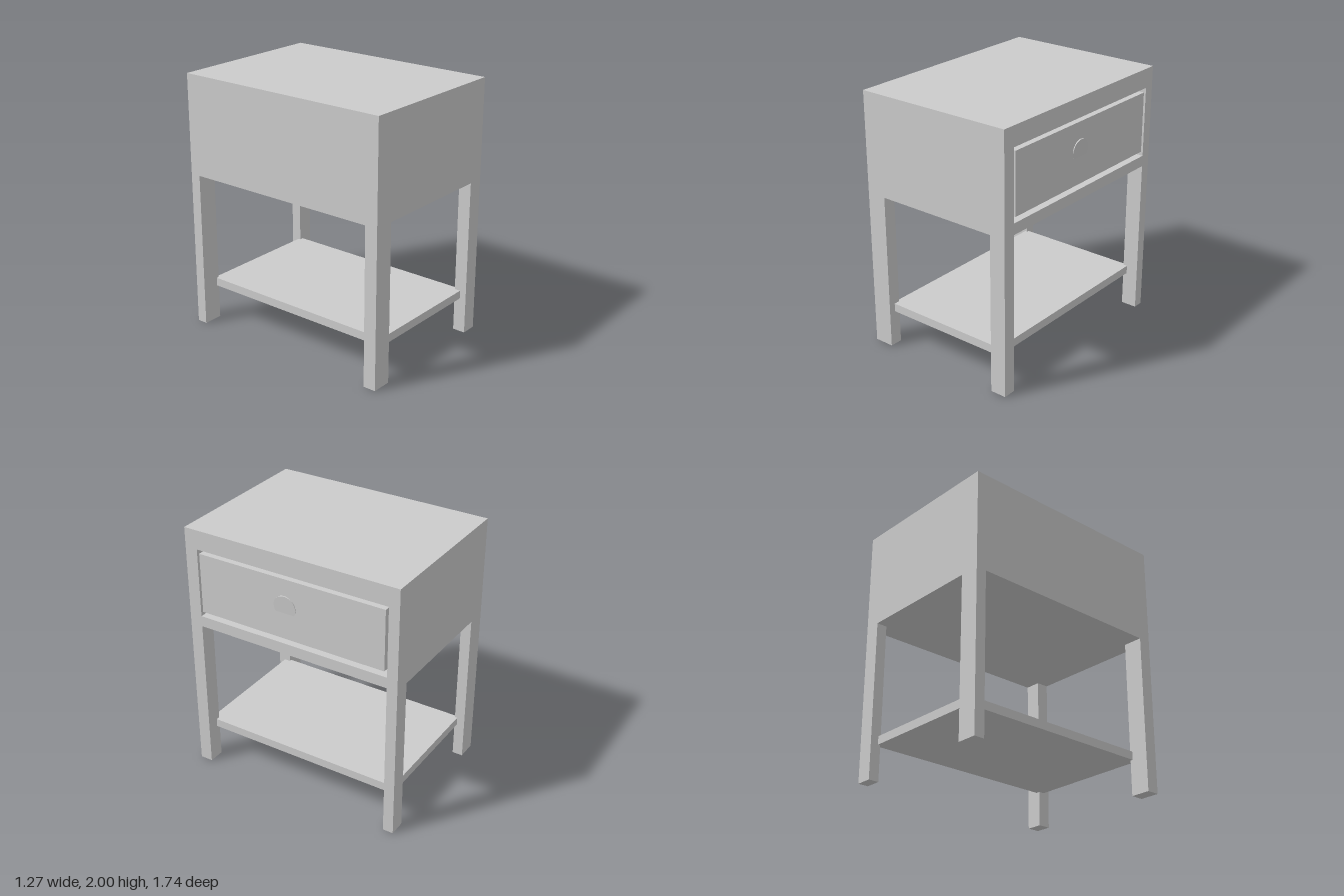
import * as THREE from 'three';

const X0 = -0.636, X1 = 0.629, Z = 0.872;   // overall footprint
const LEG_TOP = 1.225, TOP = 2;

export function createModel() {
  const group = new THREE.Group();
  const material = new THREE.MeshStandardMaterial({ color: 0xcccccc, flatShading: true });

  const add = (name, geometry) => {
    const mesh = new THREE.Mesh(geometry, material);
    mesh.name = name;
    group.add(mesh);
    return mesh;
  };
  // Box given by its minimum and maximum along each axis
  const addBox = (name, x0, x1, y0, y1, z0, z1) =>
    add(name, new THREE.BoxGeometry(x1 - x0, y1 - y0, z1 - z0))
      .position.set((x0 + x1) / 2, (y0 + y1) / 2, (z0 + z1) / 2);

  // Rectangle in the plane of the drawer front (shape x runs along -z)
  const rect = (PathType, z0, z1, y0, y1) => {
    const path = new PathType();
    path.moveTo(-z1, y0).lineTo(-z0, y0).lineTo(-z0, y1).lineTo(-z1, y1).closePath();
    return path;
  };

  // Cabinet case: a sleeve open towards +x, closed by a back wall
  const backX = -0.53;
  const section = rect(THREE.Shape, -Z, Z, LEG_TOP, TOP);
  section.holes.push(rect(THREE.Path, -0.79, 0.772, 1.31, 1.85));
  const sleeve = new THREE.ExtrudeGeometry(section, { depth: X1 - backX, bevelEnabled: false });
  sleeve.rotateY(Math.PI / 2).translate(backX, 0, 0);
  add('cabinetCase', sleeve);
  addBox('cabinetBack', X0, backX, LEG_TOP, TOP, -Z, Z);

  // Drawer, almost flush with the case
  addBox('drawer', -0.4, 0.627, 1.35, 1.82, -0.767, 0.755);

  // Shallow round knob, tilted so only its lower part stands proud
  const knob = add('drawerKnob', new THREE.CylinderGeometry(0.09, 0.09, 0.03, 32));
  knob.geometry.translate(0, -0.015, 0);
  knob.geometry.rotateZ(-Math.PI / 2 - 0.065);
  knob.position.set(0.63, 1.6, 0.03);

  // Legs: deeper at the back, slimmer at the drawer side
  for (const [xName, x0, x1] of [['rear', X0, -0.48], ['drawerSide', 0.503, X1]]) {
    for (const [zName, z0, z1] of [['Left', 0.772, Z], ['Right', -Z, -0.79]]) {
      addBox(`${xName}${zName}Leg`, x0, x1, 0, LEG_TOP, z0, z1);
    }
  }

  // Low shelf, let into the legs
  addBox('shelf', -0.5, 0.535, 0.275, 0.34, -0.81, 0.82);

  return group;
}
